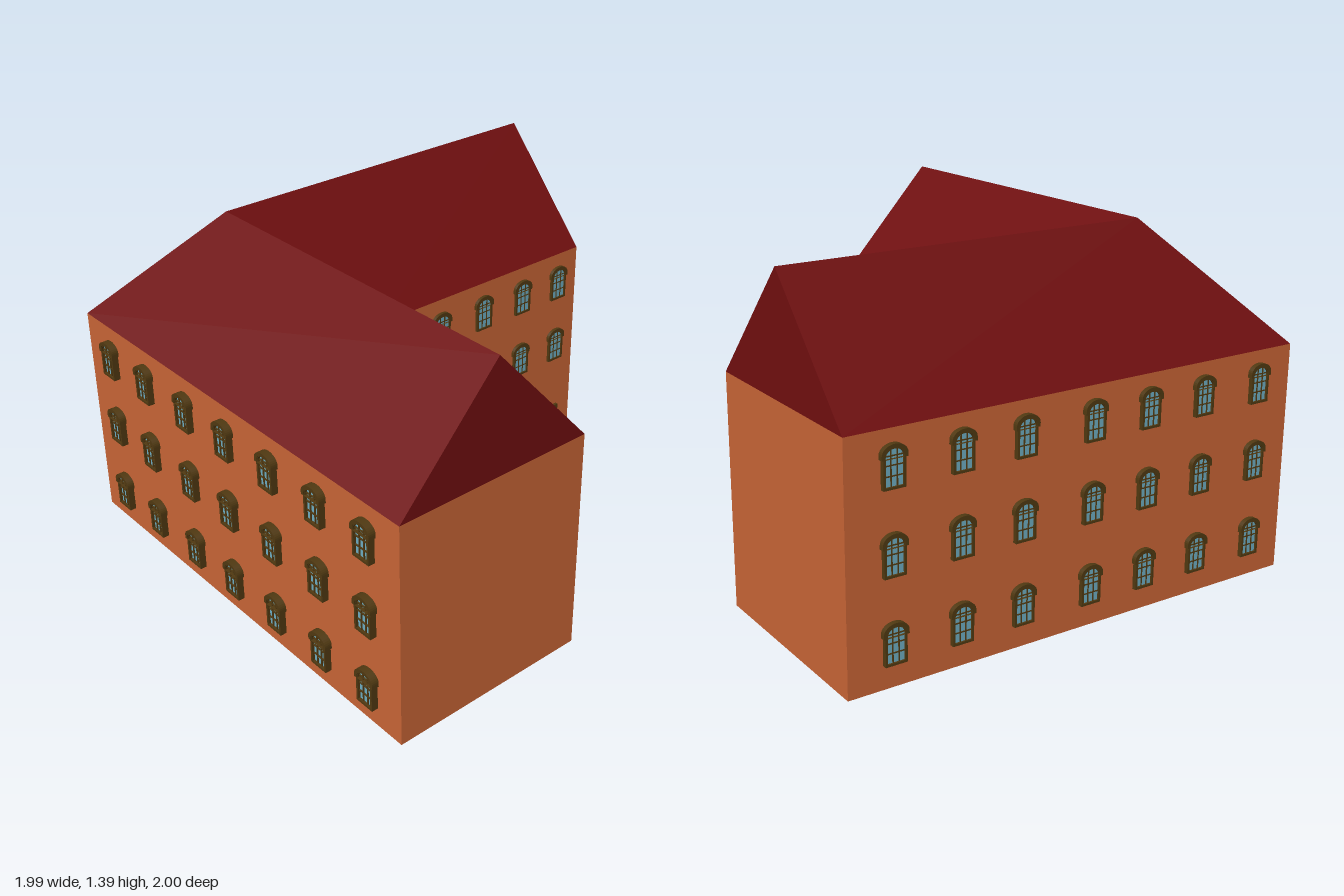
import * as THREE from 'three';

const mat = (name, color) => Object.assign(new THREE.MeshStandardMaterial({ color }), { name });

export function createModel() {
  const wallMat = mat('orange plaster', 0xc66335);
  const roofMat = mat('dark red roof', 0x6f0e0f);
  const frameMat = mat('brown wood', 0x4f3811);
  const paleMat = mat('pale blue', 0x6cabc0);

  const model = new THREE.Group();
  model.name = 'cornerHouse';
  const add = (parent, name, geo, material, x = 0, y = 0, z = 0) => {
    const m = new THREE.Mesh(geo, material);
    m.name = name;
    m.position.set(x, y, z);
    parent.add(m);
    return m;
  };
  const box = (w, h, d) => new THREE.BoxGeometry(w, h, d);

  // L-shaped walls
  const L = -0.98, R = 0.985, F = 0.97, B = -1, IX = -0.13, IZ = 0.125, EAVE = 0.925, TOP = 1.39;
  const plan = [[L, F], [R, F], [R, IZ], [IX, IZ], [IX, B], [L, B]];
  const wallGeo = new THREE.ExtrudeGeometry(
    new THREE.Shape(plan.map(([x, z]) => new THREE.Vector2(x, -z))),
    { depth: EAVE, bevelEnabled: false });
  wallGeo.rotateX(-Math.PI / 2);
  add(model, 'walls', wallGeo, wallMat);

  // Roof: four slopes and two gables over the eave outline
  const corners = plan.map(([x, z]) => [x, EAVE, z]);
  const [a, b, c, d, e, f] = corners;
  const hip = [-0.55, TOP, 0.548], endR = [R, TOP, 0.548], endB = [-0.55, TOP, B];
  const faces = [[a, b, endR, hip], [b, c, endR], [c, d, hip, endR],
    [d, e, endB, hip], [e, f, endB], [f, a, hip, endB]];
  const verts = [];
  for (const p of faces) {
    for (let i = 1; i < p.length - 1; i++) verts.push(...p[0], ...p[i], ...p[i + 1]);
  }
  const roofGeo = new THREE.BufferGeometry();
  roofGeo.setAttribute('position', new THREE.Float32BufferAttribute(verts, 3));
  roofGeo.computeVertexNormals();
  add(model, 'roof', roofGeo, roofMat);

  // Arched outline: half width, bottom, spring line and top
  const arch = (Kind, w, y0, y1, y2) => {
    const s = new Kind();
    s.moveTo(-w, y0);
    s.lineTo(w, y0);
    s.lineTo(w, y1);
    s.absellipse(0, y1, w, y2 - y1, 0, Math.PI, false);
    s.lineTo(-w, y0);
    return s;
  };
  const extrude = (shape, depth) =>
    new THREE.ExtrudeGeometry(shape, { depth, bevelEnabled: false, curveSegments: 8 });

  // Shared window pieces, one unit of depth, scaled per wall
  const frameShape = arch(THREE.Shape, 0.043, 0, 0.118, 0.15);
  frameShape.holes.push(arch(THREE.Path, 0.034, 0.009, 0.112, 0.139));
  const frameGeo = extrude(frameShape, 0.9);
  const hoodShape = arch(THREE.Shape, 0.05, 0.105, 0.12, 0.156);
  hoodShape.holes.push(arch(THREE.Path, 0.036, 0.1055, 0.114, 0.143));
  const hoodGeo = extrude(hoodShape, 1);
  const glassGeo = new THREE.ShapeGeometry(arch(THREE.Shape, 0.037, 0.005, 0.114, 0.143), 8);
  const vBar = box(0.004, 0.136, 0.25), hBar = box(0.072, 0.004, 0.25);

  const addWindow = (wall, x, y, depth) => {
    const w = new THREE.Group();
    w.name = 'window';
    w.position.set(x, y, 0);
    w.scale.z = depth;
    add(w, 'frame', frameGeo, frameMat);
    add(w, 'hood', hoodGeo, frameMat);
    add(w, 'glass', glassGeo, paleMat, 0, 0, 0.55);
    for (const s of [-0.012, 0.012]) add(w, 'verticalBar', vBar, frameMat, s, 0.071, 0.6);
    for (const h of [0.045, 0.082, 0.115]) add(w, 'crossBar', hBar, frameMat, 0, h, 0.6);
    wall.add(w);
  };

  // Door with a small fanlight and two steps
  const addDoor = (wall, x) => {
    const g = new THREE.Group();
    g.name = 'door';
    g.position.x = x;
    add(g, 'doorLeaf', box(0.065, 0.15, 0.012), frameMat, 0, 0.077, 0.006);
    for (const s of [-1, 0, 1]) {
      add(g, 'doorLight', box(0.008, 0.005, 0.002), paleMat, s * 0.012, 0.124, 0.012);
    }
    add(g, 'lowerStep', box(0.13, 0.013, 0.043), paleMat, 0, 0.0065, 0.0215);
    add(g, 'upperStep', box(0.11, 0.013, 0.03), paleMat, 0, 0.0195, 0.015);
    wall.add(g);
  };

  // A wall's openings, laid out along its local x and facing local +z
  const facade = (name, x, z, turn) => {
    const g = new THREE.Group();
    g.name = name;
    g.position.set(x, 0, z);
    g.rotation.y = turn;
    model.add(g);
    return g;
  };
  const rows = [0.08, 0.4, 0.71];

  const front = facade('frontOpenings', 0, F, 0);
  for (const x of [-0.805, -0.545, -0.265, 0, 0.275, 0.55, 0.815]) {
    for (const y of rows) addWindow(front, x, y, 0.03);
  }

  const side = facade('rightSideOpenings', L, 0, -Math.PI / 2);
  for (const z of [-0.82, -0.55, -0.29, 0.01, 0.265, 0.525, 0.805]) {
    for (const y of rows) addWindow(side, z, y + 0.01, 0.02);
  }

  const courtSide = facade('courtyardSideOpenings', IX, 0, Math.PI / 2);
  [0.035, -0.195, -0.435, -0.665, -0.885].forEach((z, i) => {
    rows.forEach((y, r) => {
      if (r === 0 && i % 2 === 0) addDoor(courtSide, -z);
      else addWindow(courtSide, -z, y, 0.014);
    });
  });

  const courtBack = facade('courtyardBackOpenings', 0, IZ, Math.PI);
  [0.045, 0.31, 0.585, 0.87].forEach((x, i) => {
    rows.forEach((y, r) => {
      if (r === 0 && i === 3) addDoor(courtBack, -x);
      else addWindow(courtBack, -x, y, 0.02);
    });
  });

  return model;
}
